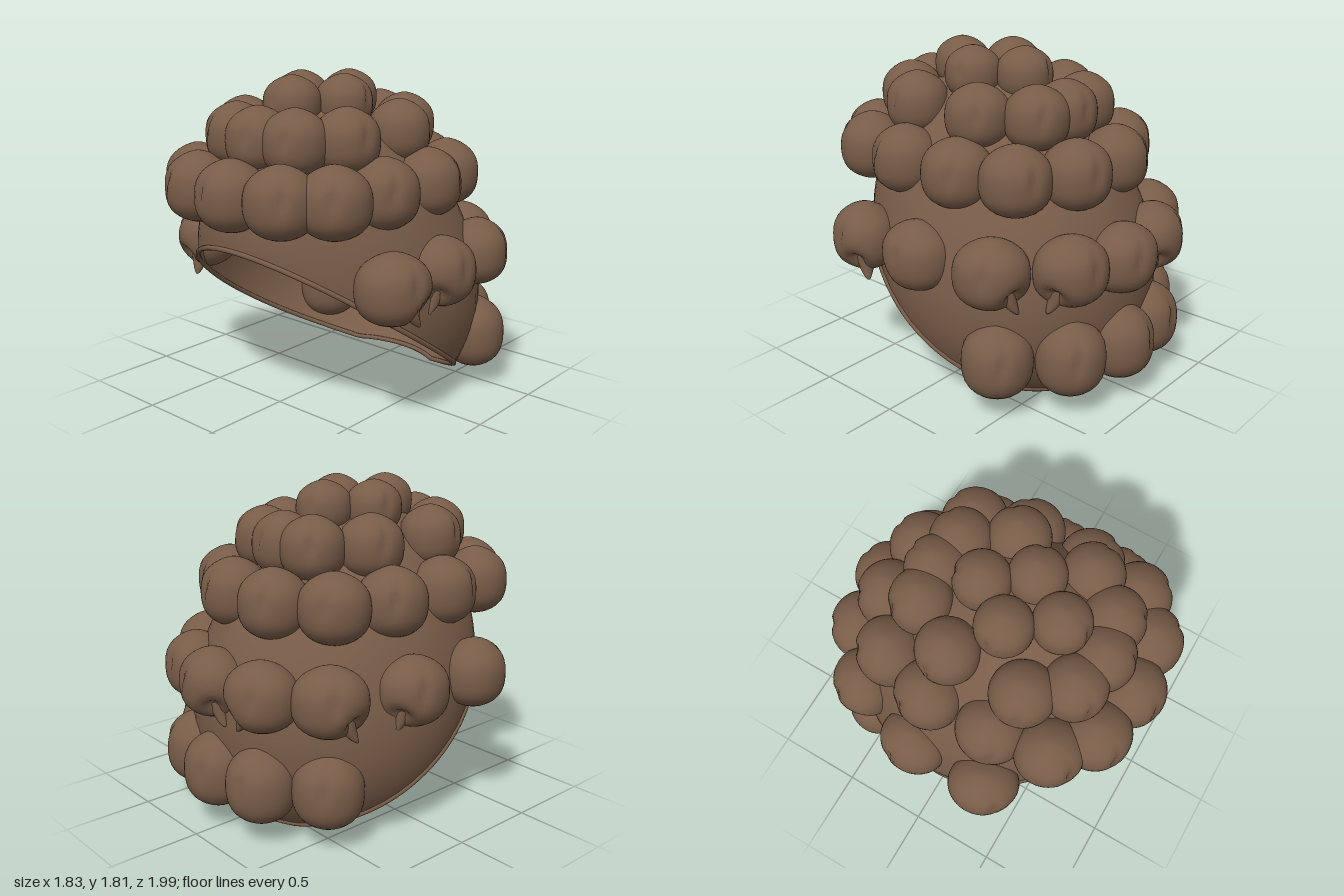
import * as THREE from 'three';
import { mergeVertices } from 'three/addons/utils/BufferGeometryUtils.js';

const hairBrown = new THREE.MeshStandardMaterial({ color: 0x785c48, side: THREE.DoubleSide });
hairBrown.name = 'hairBrown';

const RIM = 0.014;

// Leaning egg that carries the hair: phi runs round y, theta down from the top
function eggPoint(phi, theta) {
  const y = 0.75 + 0.9 * Math.cos(theta);
  const s = Math.sin(theta);
  const widen = 1 - 0.22 * (y - 0.75);
  return new THREE.Vector3(
    0.77 * s * widen * -Math.cos(phi),
    y,
    0.82 * s * Math.sin(phi) + 0.2 * (y - 0.75)
  );
}

// Angle at which the egg meets the slanted opening, which is flat at the nape
function rimTheta(phi) {
  let lo = 0, hi = Math.PI;
  for (let i = 0; i < 30; i++) {
    const mid = (lo + hi) / 2, p = eggPoint(phi, mid);
    const edge = Math.max(RIM, 0.335 + 0.65 * p.z + 0.1 * p.z * p.z);
    if (p.y > edge) lo = mid; else hi = mid;
  }
  return lo;
}

function smooth(geometry) {
  geometry.deleteAttribute('uv');
  geometry.deleteAttribute('normal');
  const merged = mergeVertices(geometry, 1e-4);
  merged.computeVertexNormals();
  return merged;
}

function capGeometry() {
  const g = new THREE.SphereGeometry(1, 64, 30, 0, Math.PI * 2, 0, Math.PI * 0.9);
  const pos = g.attributes.position, uv = g.attributes.uv;
  for (let i = 0; i < pos.count; i++) {
    const phi = uv.getX(i) * Math.PI * 2;
    const p = eggPoint(phi, (1 - uv.getY(i)) * rimTheta(phi));
    pos.setXYZ(i, p.x, p.y, p.z);
  }
  return smooth(g);
}

// Puffy lock with a peaked top and a short crease; side = +-1 adds a dent for the loose tip
function curlGeometry(rx, ry, rz, crease, side) {
  const g = new THREE.SphereGeometry(1, 48, 20);
  const pos = g.attributes.position;
  const d = new THREE.Vector3(), dent = new THREE.Vector3(0.7 * side, -0.55, 0.5).normalize();
  for (let i = 0; i < pos.count; i++) {
    d.fromBufferAttribute(pos, i).normalize();
    const across = Math.hypot(d.x, d.z);
    const away = Math.atan2(d.x, d.z) - crease - 0.25 * d.y;
    const band = Math.exp(-((d.y - 0.3) ** 2) / 0.15) * across;
    let r = 1 - 0.12 * band * Math.exp(-((away / 0.14) ** 2));
    if (side) r *= 1 - 0.32 * Math.exp(-d.distanceToSquared(dent) / 0.12);
    // Broad low shoulders, a soft peak above and a blunt point below
    const width = r * (1 + 0.25 * across * across * d.y * d.y);
    const peak = d.y > 0 ? 1 - 0.08 * across * d.y : 1;
    pos.setXYZ(i, d.x * width * rx, (d.y * peak * r - 0.04 * (1 - d.y * d.y)) * ry, d.z * width * rz);
  }
  return smooth(g);
}

// Loose pointed tip hanging below a lock
function tipGeometry(side) {
  const g = new THREE.SphereGeometry(1, 14, 12);
  const pos = g.attributes.position;
  for (let i = 0; i < pos.count; i++) {
    const y = pos.getY(i), w = 0.75 + 0.25 * y;
    pos.setXYZ(i, 0.055 * w * pos.getX(i) + side * 0.03 * y * y, 0.1 * y, 0.06 * w * pos.getZ(i));
  }
  return smooth(g);
}

const mirror = (half) => half.flatMap(([x, z]) => (x === 0 ? [[x, z]] : [[x, z], [-x, z]]));

// Rows of locks: height, radii (across, up, outward) and places as [x, z]
const rows = [
  { name: 'crownCurl', y: 1.66, r: [0.155, 0.15, 0.155],
    at: [[0, -0.09], [-0.16, 0.13], [0.16, 0.14], [0, 0.37]] },
  { name: 'upperCurl', y: 1.5, r: [0.175, 0.175, 0.17],
    at: mirror([[0, 0.62], [0.21, 0.57], [0.37, 0.36], [0.365, -0.08], [0.2, -0.34], [0, -0.37]]) },
  { name: 'browCurl', y: 1.24, r: [0.19, 0.19, 0.18],
    at: mirror([[0, 0.82], [0.3, 0.77], [0.5, 0.6], [0.55, 0.28], [0.55, -0.1], [0.45, -0.41], [0.17, -0.58]]) },
  { name: 'sideCurl', y: 0.81, r: [0.2, 0.19, 0.175], tips: true,
    at: [[0.735, 0.43], [0.735, 0.02], [0.66, -0.43], [0.37, -0.71], [0.06, -0.81],
      [-0.29, -0.76], [-0.58, -0.55], [-0.73, -0.12], [-0.74, 0.34]] },
  { name: 'napeCurl', y: 0.32, r: [0.19, 0.21, 0.18],
    at: [[0.64, -0.45], [0.37, -0.72], [0.05, -0.81], [-0.27, -0.76], [-0.55, -0.54]] }
];

export function createModel() {
  const model = new THREE.Group();
  model.name = 'curlyWig';

  const add = (parent, name, geometry) => {
    const mesh = new THREE.Mesh(geometry, hairBrown);
    mesh.name = name;
    parent.add(mesh);
    return mesh;
  };

  add(model, 'cap', capGeometry());

  // Rolled edge round the opening
  const rim = [];
  for (let i = 0; i < 64; i++) {
    const phi = (i / 64) * Math.PI * 2;
    rim.push(eggPoint(phi, rimTheta(phi)));
  }
  add(model, 'capRim', new THREE.TubeGeometry(new THREE.CatmullRomCurve3(rim, true), 128, RIM, 8, true));

  // Locks, each turned to face away from the middle
  for (const row of rows) {
    row.at.forEach(([x, z], i) => {
      const lock = new THREE.Group();
      lock.name = row.name;
      lock.position.set(x, row.y, z);
      lock.rotation.y = Math.atan2(x, z - (row.tips ? 0 : 0.12));
      const side = row.tips ? (i % 2 ? -1 : 1) : 0;
      const crease = 0.35 * Math.sin(i * 2.4 + row.y * 9);
      add(lock, row.name + 'Puff', curlGeometry(...row.r, crease, side));
      if (side) {
        const tip = add(lock, 'curlTip', tipGeometry(side));
        tip.position.set(side * 0.09, -0.12, 0.02);
        tip.rotation.z = side * 0.2;
      }
      model.add(lock);
    });
  }
  return model;
}
